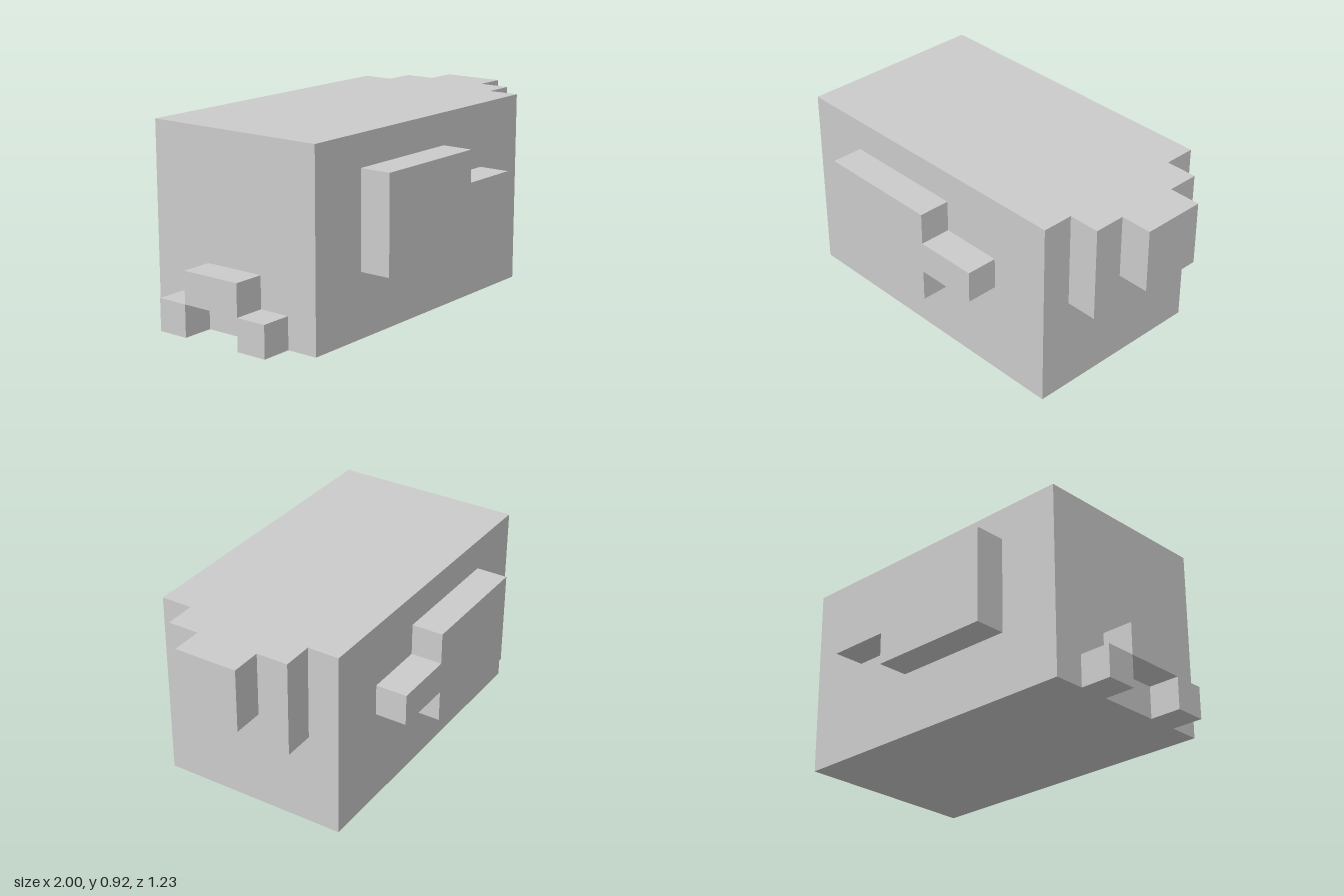
import * as THREE from 'three';

const U = 2 / 13; // one block of the modelling grid
const material = new THREE.MeshStandardMaterial({ color: 0xcccccc, flatShading: true });

// Box between two corners, given in blocks
function block(name, [x0, y0, z0], [x1, y1, z1]) {
  const geometry = new THREE.BoxGeometry((x1 - x0) * U, (y1 - y0) * U, (z1 - z0) * U);
  const mesh = new THREE.Mesh(geometry, material);
  mesh.position.set((x0 + x1) * U / 2, (y0 + y1) * U / 2, (z0 + z1) * U / 2);
  mesh.name = name;
  return mesh;
}

export function createModel() {
  const model = new THREE.Group();
  model.name = 'blockCreature';

  model.add(block('body', [-5.5, 0, -3], [4.5, 6, 3]));

  // Stepped snout, flush with the top of the body
  model.add(block('snoutBase', [4.5, 3, -2], [5.5, 6, 2]));
  model.add(block('snoutTip', [5.5, 4, -1], [6.5, 6, 1]));

  // Tail: a raised middle block between two low end blocks
  model.add(block('tailMiddle', [-6.5, 1, -1], [-5.5, 2, 1]));
  model.add(block('tailEndLeft', [-6.5, 0, 1], [-5.5, 1, 2]));
  model.add(block('tailEndRight', [-6.5, 0, -2], [-5.5, 1, -1]));

  // Side fins: a wide plate with a narrow bar pointing at the snout
  const outline = [[-3.5, 2], [0.5, 2], [0.5, 3], [2.5, 3], [2.5, 4], [0.5, 4], [0.5, 5], [-3.5, 5]];
  const shape = new THREE.Shape(outline.map(([x, y]) => new THREE.Vector2(x * U, y * U)));
  const finGeometry = new THREE.ExtrudeGeometry(shape, { depth: U, bevelEnabled: false });
  for (const [name, z] of [['finFront', 3], ['finBack', -4]]) {
    const fin = new THREE.Mesh(finGeometry, material);
    fin.position.z = z * U;
    fin.name = name;
    model.add(fin);
  }

  return model;
}
